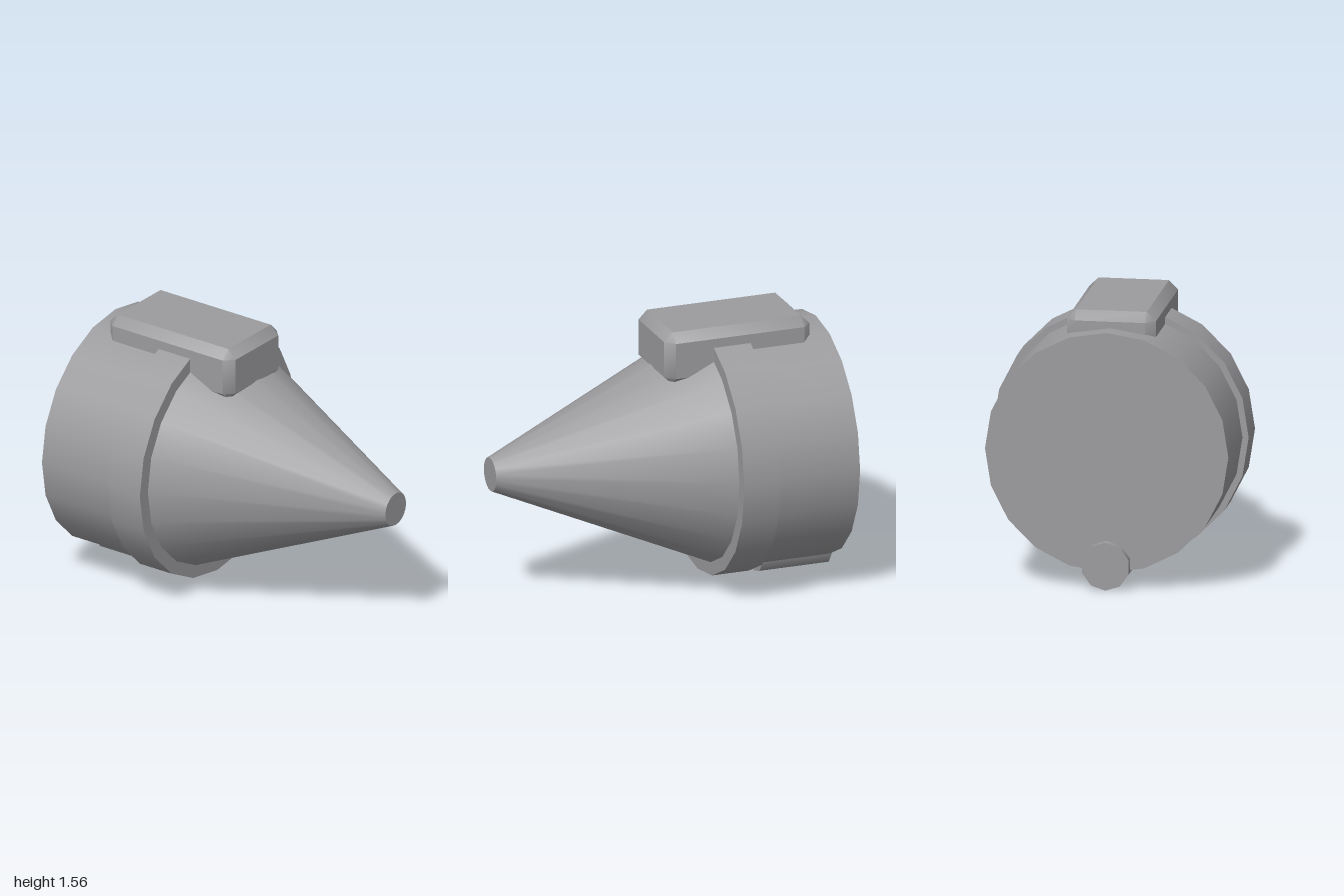
import * as THREE from 'three';
import { toCreasedNormals } from 'three/addons/utils/BufferGeometryUtils.js';
import { ConvexGeometry } from 'three/addons/geometries/ConvexGeometry.js';

const material = new THREE.MeshStandardMaterial({ color: 0x9c9c9f });

// Drum or cone lying along z, from zBack to zFront
function drum(name, rFront, rBack, zFront, zBack, y, sides) {
  const geometry = new THREE.CylinderGeometry(rFront, rBack, zFront - zBack, sides);
  geometry.rotateX(Math.PI / 2);
  const mesh = new THREE.Mesh(geometry, material);
  mesh.name = name;
  mesh.position.set(0, y, (zFront + zBack) / 2);
  return mesh;
}

// Box with one straight bevel; faces stay flat, bevels blend into the cut corners
function bevelledBox(width, height, depth, bevel) {
  const half = [width / 2, height / 2, depth / 2];
  const points = [];
  for (let axis = 0; axis < 3; axis++) {
    for (const sx of [-1, 1]) for (const sy of [-1, 1]) for (const sz of [-1, 1]) {
      const p = [sx, sy, sz].map((s, i) => s * (half[i] - (i === axis ? 0 : bevel)));
      points.push(new THREE.Vector3(...p));
    }
  }
  return toCreasedNormals(new ConvexGeometry(points), 0.7);
}

export function createModel() {
  const group = new THREE.Group();
  group.name = 'nozzleCanister';
  const axisY = 0.782;

  // Main body along one axis
  group.add(drum('nozzleCone', 0.097, 0.65, 1, -0.245, axisY, 20));
  group.add(drum('collar', 0.725, 0.725, -0.245, -0.465, axisY, 20));
  group.add(drum('rearDrum', 0.69, 0.69, -0.465, -0.953, axisY, 20));

  // Small peg under the back
  group.add(drum('rearPeg', 0.138, 0.138, -0.585, -1, 0.138, 10));

  // Bevelled housing across the top
  const housing = new THREE.Mesh(bevelledBox(0.504, 0.313, 0.872, 0.052), material);
  housing.name = 'topHousing';
  housing.position.set(0, 1.405, -0.403);
  group.add(housing);

  return group;
}
